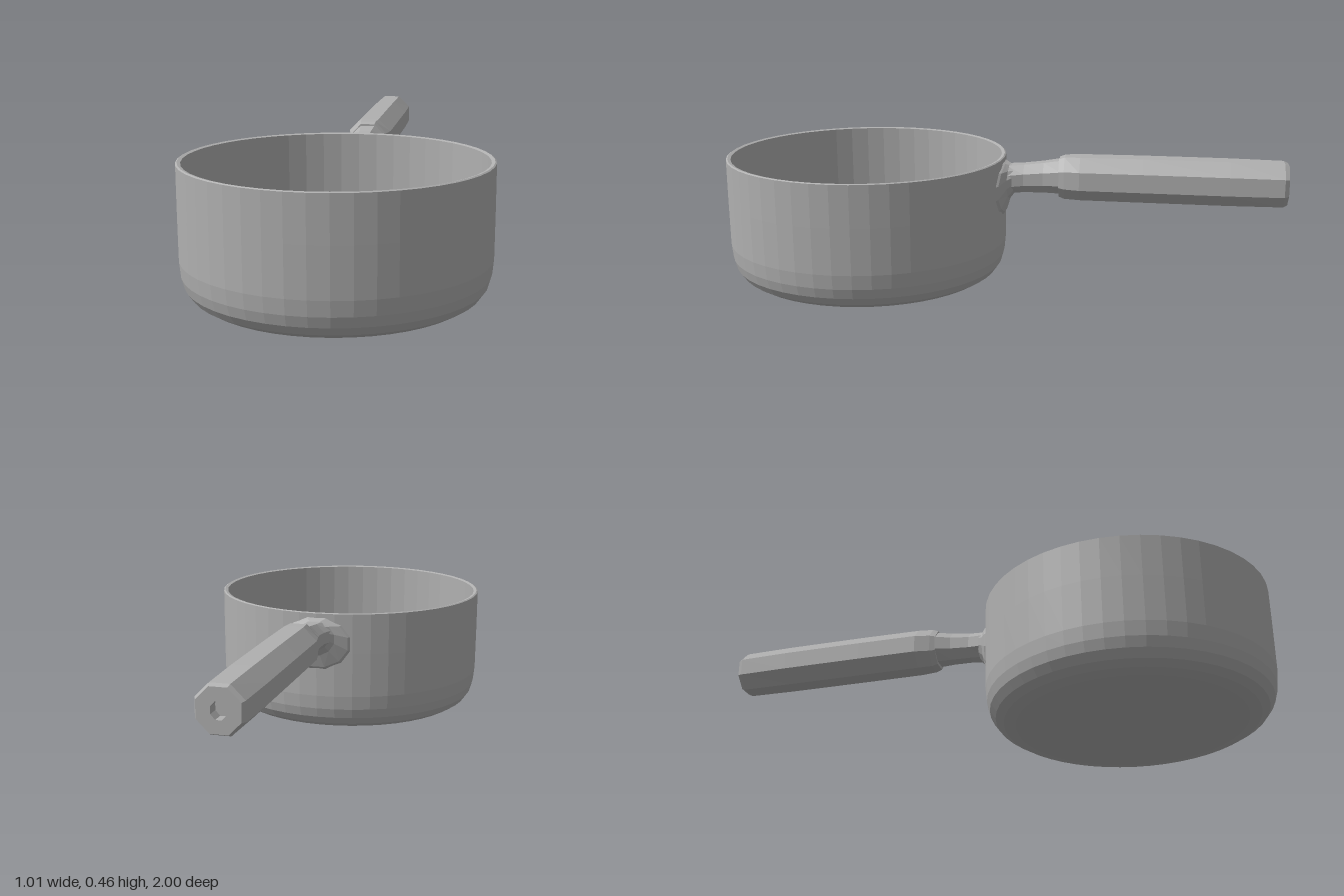
import * as THREE from 'three';

const steel = new THREE.MeshStandardMaterial({ color: 0xb0b0b0, flatShading: true });
steel.name = 'grey steel';

// Joins elliptical cross-sections [z, centreY, radiusX, radiusY] running towards -z.
// bend curves each section round the pot wall.
function loft(name, sections, sides, bend = 0) {
  const pos = [], idx = [];
  const k = 1 / Math.cos(Math.PI / sides);
  for (const [z, y, rx, ry] of sections) {
    for (let j = 0; j < sides; j++) {
      const t = ((j + 0.5) / sides) * Math.PI * 2;
      const x = rx * k * Math.cos(t);
      pos.push(x, y + ry * k * Math.sin(t), z + bend * x * x);
    }
  }
  for (let i = 0; i < sections.length - 1; i++) {
    for (let j = 0; j < sides; j++) {
      const a = i * sides + j, b = i * sides + ((j + 1) % sides);
      idx.push(a, a + sides, b, b, a + sides, b + sides);
    }
  }
  const geo = new THREE.BufferGeometry();
  geo.setAttribute('position', new THREE.Float32BufferAttribute(pos, 3));
  geo.setIndex(idx);
  geo.computeVertexNormals();
  const mesh = new THREE.Mesh(geo, steel);
  mesh.name = name;
  return mesh;
}

export function createModel() {
  const group = new THREE.Group();
  group.name = 'saucepan';

  // Pot: outside from the base up, over the rim, then down the inside to the floor
  const profile = [
    [0, 0], [0.4, 0.002], [0.44, 0.01], [0.468, 0.027], [0.488, 0.055], [0.498, 0.09],
    [0.503, 0.14], [0.504, 0.3], [0.504, 0.447], [0.499, 0.45], [0.488, 0.447],
    [0.486, 0.14], [0.478, 0.085], [0.455, 0.048], [0.42, 0.03], [0.38, 0.025], [0, 0.025],
  ].map(([r, y]) => new THREE.Vector2(r, y));
  const pot = new THREE.Mesh(new THREE.LatheGeometry(profile, 48), steel);
  pot.name = 'pot';
  pot.position.z = 0.496;
  group.add(pot);

  // Flared mount hugging the pot wall
  group.add(loft('handleMount', [
    [0, 0.335, 0.13, 0.1],
    [-0.014, 0.34, 0.115, 0.088],
    [-0.028, 0.36, 0.07, 0.062],
    [-0.045, 0.37, 0.055, 0.05],
  ], 12, 1));

  // Neck between mount and grip
  group.add(loft('handleNeck', [
    [-0.02, 0.37, 0.06, 0.05],
    [-0.08, 0.375, 0.05, 0.05],
    [-0.15, 0.38, 0.052, 0.054],
    [-0.215, 0.385, 0.064, 0.06],
    [-0.23, 0.385, 0.064, 0.06],
  ], 8));

  // Grip with rounded end and a small recess in its tip
  group.add(loft('handleGrip', [
    [-0.205, 0.382, 0, 0],
    [-0.205, 0.382, 0.062, 0.068],
    [-0.225, 0.382, 0.068, 0.075],
    [-0.28, 0.382, 0.079, 0.077],
    [-0.5, 0.382, 0.08, 0.078],
    [-0.8, 0.381, 0.08, 0.078],
    [-0.985, 0.38, 0.076, 0.076],
    [-1, 0.38, 0.068, 0.069],
    [-1, 0.38, 0.024, 0.027],
    [-0.96, 0.38, 0.024, 0.027],
    [-0.96, 0.38, 0, 0],
  ], 8));

  return group;
}
